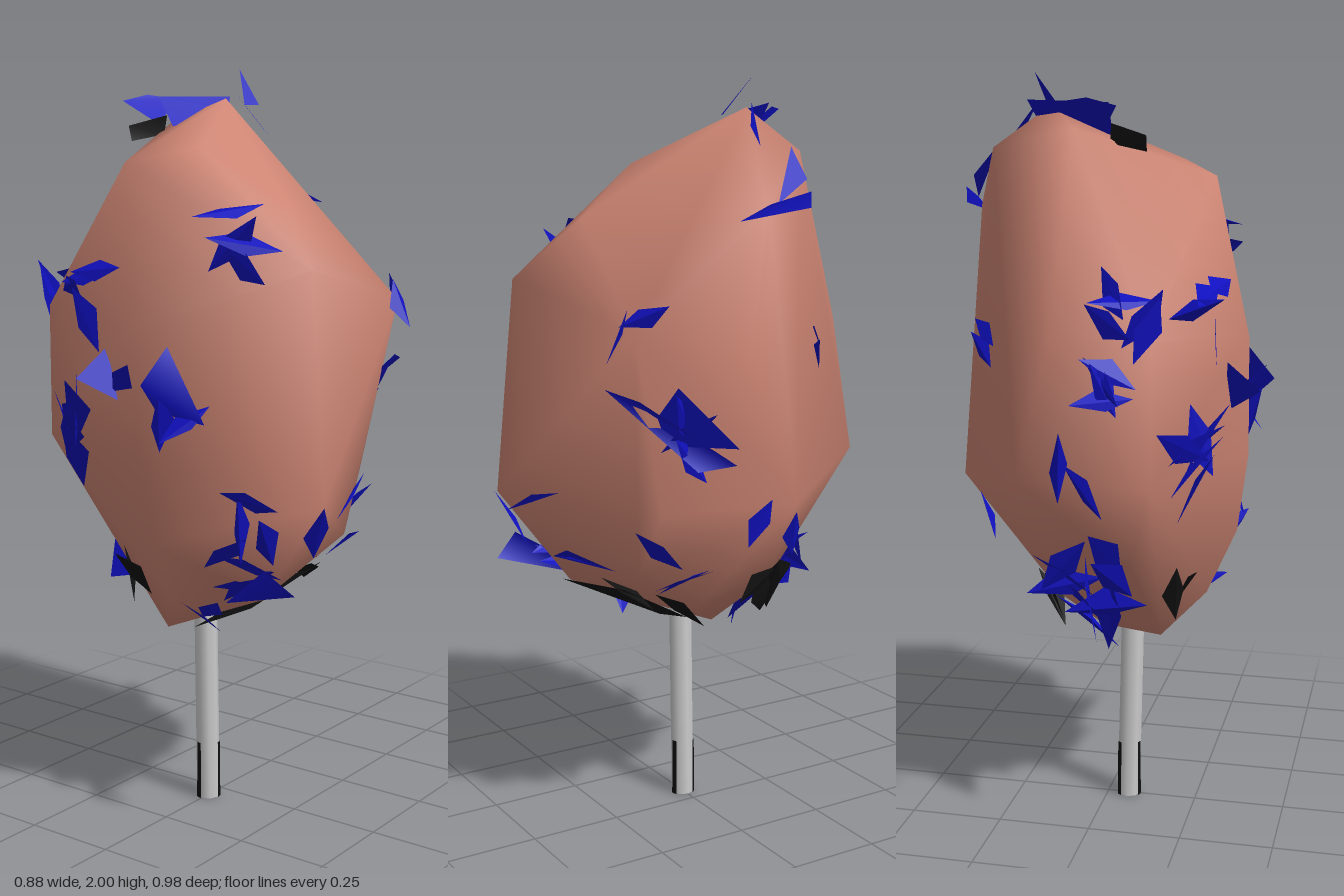
import * as THREE from 'three';
import { mergeVertices } from 'three/addons/utils/BufferGeometryUtils.js';
import { ConvexGeometry } from 'three/addons/geometries/ConvexGeometry.js';

const V = (x, y, z) => new THREE.Vector3(x, y, z);
const pink = new THREE.MeshStandardMaterial({ color: 0xcf8674 });
const blue = new THREE.MeshStandardMaterial({ color: 0x1010c0, side: THREE.DoubleSide });
const dark = new THREE.MeshStandardMaterial({ color: 0x101010, side: THREE.DoubleSide });
const grey = new THREE.MeshStandardMaterial({ color: 0xcccccc });

// Small seeded generator, -1..1
let seed = 11;
const rnd = () => {
  seed = (seed * 16807) % 2147483647;
  return (seed / 2147483647) * 2 - 1;
};

// Corners of the lumpy candy floss, from the top down
const crown = [[0.13, 1.92, -0.08], [0.05, 1.86, -0.2], [-0.3, 1.74, -0.08], [-0.19, 1.78, 0.08], [-0.1, 1.64, 0.28], [0.27, 1.81, -0.15], [0.35, 1.66, 0]];
const upper = [[-0.21, 1.48, 0.43], [0.32, 1.38, 0.36], [0.36, 1.3, 0.05], [0.05, 1.36, -0.43], [-0.2, 1.36, -0.44], [-0.38, 1.32, 0]];
const middle = [[-0.23, 0.91, 0.48], [0.29, 0.92, 0.27], [0.39, 0.93, -0.07], [0.14, 1, -0.43], [-0.2, 1, -0.44], [-0.38, 1, 0.03]];
const lower = [[-0.2, 0.64, 0.28], [0.19, 0.74, 0.28], [0.24, 0.77, -0.03], [0.08, 0.64, -0.2], [-0.12, 0.75, -0.28], [-0.35, 0.78, 0.05]];
const base = [[-0.16, 0.5, -0.06], [0.13, 0.6, 0.08], [-0.27, 0.6, 0.04], [0, 0.52, -0.06]];

function candyGeometry() {
  const points = [...crown, ...upper, ...middle, ...lower, ...base].map((p) => V(...p));
  const g = new ConvexGeometry(points);
  g.deleteAttribute('normal');
  const smooth = mergeVertices(g, 1e-4);
  smooth.computeVertexNormals();
  return smooth;
}

// Spots where flakes poke out: x, y, z, count, size
const blueSpots = [
  [-0.27, 1.57, 0.34, 4, 0.11], [-0.38, 1.2, 0.04, 1, 0.1], [-0.38, 1.05, 0.08, 2, 0.09], [-0.28, 0.86, 0.4, 4, 0.1],
  [-0.29, 0.72, 0.22, 4, 0.11], [0.34, 1.14, 0.25, 3, 0.1], [0.3, 1.42, 0.36, 2, 0.08], [0.34, 1.34, -0.22, 2, 0.07],
  [-0.14, 1.4, -0.44, 5, 0.1], [-0.15, 1.23, -0.44, 4, 0.09], [-0.05, 1.0, -0.43, 2, 0.1], [-0.28, 1.02, -0.3, 6, 0.12],
  [0.0, 0.74, -0.27, 5, 0.12], [-0.02, 0.63, -0.2, 4, 0.13], [0.24, 0.78, 0.25, 3, 0.1], [0.32, 0.85, -0.06, 2, 0.08],
  [-0.32, 1.4, -0.22, 4, 0.11], [-0.17, 0.56, 0.02, 2, 0.09],
];
const darkSpots = [[0.1, 0.64, 0.1, 2, 0.1], [0.09, 0.66, -0.14, 2, 0.1], [-0.2, 0.6, -0.08, 2, 0.09]];

// Sharp flakes rooted in the surface of the candy at each spot
function flakeGeometry(spots, body) {
  const ray = new THREE.Raycaster();
  const pos = [];
  for (const [x, y, z, count, size] of spots) {
    for (let i = 0; i < count; i++) {
      const aim = V(x + rnd() * 0.08, y + rnd() * 0.08, z + rnd() * 0.08);
      const out = V(aim.x, 0, aim.z).normalize();
      out.y = (aim.y - 1.15) * 0.5;
      out.normalize();
      ray.set(aim.clone().add(out), out.clone().negate());
      const hit = ray.intersectObject(body)[0];
      if (!hit) continue;
      const n = hit.face.normal;
      const side = V(rnd(), rnd(), rnd()).cross(n).normalize();
      const across = V().crossVectors(n, side);
      const at = (s, a, o) => hit.point.clone().addScaledVector(side, s * size).addScaledVector(across, a * size).addScaledVector(n, o * size);
      const p = [at(-0.8, -0.1, 0.03), at(0.2, -0.35, 0.02), at(0.85, 0.1 * rnd(), 0.5 + 0.15 * rnd()), at(-0.1, 0.2, 0.3)];
      for (const k of [0, 1, 2, 0, 2, 3]) pos.push(...p[k].toArray());
    }
  }
  const g = new THREE.BufferGeometry();
  g.setAttribute('position', new THREE.Float32BufferAttribute(pos, 3));
  g.computeVertexNormals();
  return g;
}

// Single flat flake given by its three or four corners
function leaf(corners) {
  const g = new THREE.BufferGeometry().setFromPoints(corners.map((p) => V(...p)));
  g.setIndex(corners.length > 3 ? [0, 1, 2, 0, 2, 3] : [0, 1, 2]);
  g.computeVertexNormals();
  return g;
}

export function createModel() {
  const model = new THREE.Group();
  const add = (name, geometry, material) => {
    const mesh = new THREE.Mesh(geometry, material);
    mesh.name = name;
    model.add(mesh);
    return mesh;
  };

  const body = add('candyFloss', candyGeometry(), pink);
  add('blueFlakes', flakeGeometry(blueSpots, body), blue);
  add('darkFlakes', flakeGeometry(darkSpots, body), dark);

  // Larger flakes on the crown and the upper side
  const crownLeaves = [
    [[-0.08, 1.91, -0.27], [0, 1.93, -0.25], [0.09, 1.92, -0.21], [-0.03, 1.85, -0.19]],
    [[-0.04, 1.92, -0.18], [0.19, 1.93, -0.11], [0.17, 1.89, -0.1], [-0.04, 1.84, -0.13]],
    [[0.12, 1.9, -0.01], [0.18, 2, -0.07], [0.16, 1.9, 0.01]],
    [[0.17, 1.93, -0.07], [0.27, 1.82, -0.03], [0.21, 1.87, -0.04]],
    [[0.26, 1.82, -0.13], [0.33, 1.74, -0.13], [0.35, 1.68, -0.03]],
    [[0.36, 1.64, 0.09], [0.36, 1.68, 0], [0.35, 1.71, -0.13], [0.35, 1.67, -0.13]],
  ];
  // Larger flakes around the front, both sides and the lower back
  const sideLeaves = [
    [[-0.17, 0.87, 0.48], [-0.06, 0.93, 0.46], [0.04, 0.95, 0.43], [-0.06, 0.91, 0.46]],
    [[-0.08, 0.75, 0.39], [0.02, 0.79, 0.4], [0.17, 0.76, 0.34], [0.02, 0.77, 0.39]],
    [[0.24, 1.24, 0.4], [0.34, 1.22, 0.36], [0.4, 1.05, 0.12], [0.38, 1.04, 0.22]],
    [[0.26, 1.1, 0.32], [0.37, 1.25, 0.27], [0.44, 1.1, 0.14]],
    [[-0.43, 1.2, -0.14], [-0.34, 1.27, -0.12], [-0.33, 1.13, -0.06]],
    [[-0.44, 1.2, 0.08], [-0.35, 1.12, 0.06], [-0.34, 1.1, 0.2], [-0.36, 1.29, 0.1]],
    [[-0.34, 0.76, 0.38], [-0.2, 0.72, 0.32], [-0.25, 0.63, 0.2], [-0.31, 0.7, 0.45]],
    [[0, 0.6, -0.2], [-0.05, 0.57, -0.36], [-0.02, 0.72, -0.36], [0, 0.8, -0.28]],
  ];
  for (const corners of [...crownLeaves, ...sideLeaves]) add('largeBlueFlake', leaf(corners), blue);

  // Dark flakes on the crown, under the front and under the back
  const darkLeaves = [
    [[-0.14, 1.84, -0.2], [-0.04, 1.87, -0.15], [-0.04, 1.82, -0.16], [-0.14, 1.8, -0.19]],
    [[-0.25, 0.63, 0.28], [0.09, 0.68, 0.27], [0.08, 0.57, 0.07], [-0.15, 0.51, 0.02]],
    [[0.14, 0.6, -0.1], [0.13, 0.73, -0.14], [0.08, 0.67, -0.28], [0.08, 0.55, -0.17]],
  ];
  for (const corners of darkLeaves) add('largeDarkFlake', leaf(corners), dark);

  // Slightly leaning stick with dark scorch slivers at its foot
  const stick = add('stick', new THREE.CylinderGeometry(0.032, 0.032, 0.62, 8), grey);
  stick.position.set(-0.065, 0.31, 0);
  stick.rotation.z = 0.02;
  for (let i = 0; i < 3; i++) {
    const sliver = add('stickSliver', new THREE.CylinderGeometry(0.033, 0.034, 0.16, 8, 1, true, i * 2.1, 0.5), dark);
    sliver.position.set(-0.06, 0.08, 0);
  }
  return model;
}
